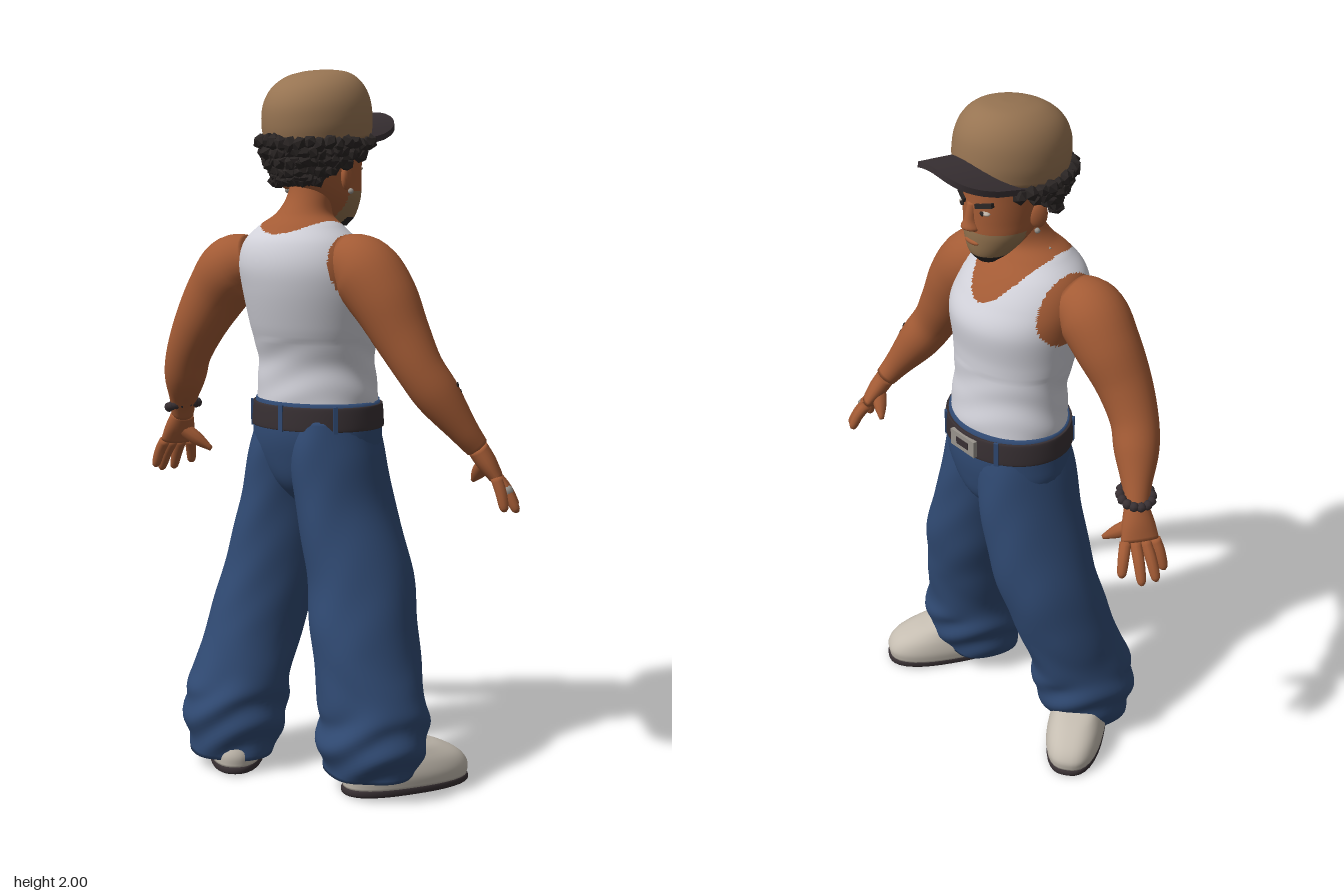
import * as THREE from 'three';

const mat = (name, color) => {
  const m = new THREE.MeshStandardMaterial({ color });
  m.name = name;
  return m;
};
const M = {
  skin: mat('skin', 0xa35b35), tank: mat('tank white', 0xd2d2da), denim: mat('denim', 0x304a73),
  cap: mat('cap tan', 0x977452), dark: mat('dark leather', 0x383033), hair: mat('hair', 0x2a2524),
  shoe: mat('shoe cream', 0xc5bdb1), metal: mat('silver', 0x98938c), stubble: mat('stubble', 0x93734f),
  eye: mat('eye white', 0xbdb2a6),
};

const V = (x, y, z) => new THREE.Vector3(x, y, z);

function add(parent, name, geo, material, pos = [0, 0, 0], rot = [0, 0, 0], scale = [1, 1, 1]) {
  const m = new THREE.Mesh(geo, material);
  m.name = name;
  m.position.set(...pos);
  m.rotation.set(...rot);
  m.scale.set(...scale);
  parent.add(m);
  return m;
}

// Smooth closed skin over sections [x, y, z, a, b]. Without ref the sections lie
// flat and run upward; with ref they turn along the path, a measured along ref.
function sweep(sections, { ref = null, rows = 24, cols = 24, pick = () => 0, bump = () => 1 } = {}) {
  const path = new THREE.CatmullRomCurve3(sections.map(s => V(s[0], s[1], s[2])), false, 'catmullrom');
  const size = new THREE.CatmullRomCurve3(sections.map(s => V(s[3], s[4] ?? s[3], 0)), false, 'catmullrom');
  const pts = [];
  for (let i = 0; i <= rows; i++) {
    const c = path.getPoint(i / rows), r = size.getPoint(i / rows);
    let u = V(1, 0, 0), v = V(0, 0, 1);
    if (ref) {
      const t = path.getTangent(i / rows);
      u = ref.clone().addScaledVector(t, -ref.dot(t)).normalize();
      v = u.clone().cross(t);
    }
    for (let j = 0; j < cols; j++) {
      const th = j / cols * Math.PI * 2, k = bump(c.y, th);
      pts.push(c.clone().addScaledVector(u, r.x * k * Math.cos(th)).addScaledVector(v, r.y * k * Math.sin(th)));
    }
  }
  const lists = [];
  const face = (a, b, c) => {
    const mid = pts[a].clone().add(pts[b]).add(pts[c]).divideScalar(3);
    (lists[pick(mid)] ??= []).push(a, b, c);
  };
  for (let i = 0; i < rows; i++) for (let j = 0; j < cols; j++) {
    const n = (j + 1) % cols, a = i * cols + j, b = i * cols + n;
    face(a, a + cols, b);
    face(b, a + cols, b + cols);
  }
  const first = pts.push(path.getPoint(0)) - 1, last = pts.push(path.getPoint(1)) - 1;
  for (let j = 0; j < cols; j++) {
    const n = (j + 1) % cols;
    face(first, j, n);
    face(last, rows * cols + n, rows * cols + j);
  }
  const g = new THREE.BufferGeometry().setFromPoints(pts);
  const index = [];
  lists.forEach((l, k) => { g.addGroup(index.length, l.length, k); for (const i of l) index.push(i); });
  g.setIndex(index);
  g.computeVertexNormals();
  return g;
}

const ball = (r, w = 16, h = 12) => new THREE.SphereGeometry(r, w, h);

function makeTorso(root) {
  const g = new THREE.Group();
  g.name = 'torso';
  g.rotation.y = 0.2;
  root.add(g);
  // Skin above the neckline and outside the straps, cloth elsewhere
  const pick = p => {
    const z = p.z - 0.002, neck = p.x > -0.05 ? 1.468 + 9.5 * z * z : 1.555 + 3 * z * z;
    const armhole = 0.155 + 1.6 * Math.max(0, 1.52 - p.y) ** 2;
    return p.y > Math.min(neck, 1.598) || (p.y > 1.33 && Math.abs(z) > armhole) ? 1 : 0;
  };
  add(g, 'tank top and chest', sweep([
    [.014, 1.04, .003, .148, .182], [.014, 1.1, .004, .15, .184], [.006, 1.2, .006, .144, .176],
    [-.012, 1.3, .009, .16, .19], [-.022, 1.4, .01, .177, .204], [-.042, 1.47, .006, .165, .2],
    [-.056, 1.53, .003, .137, .174], [-.06, 1.575, .005, .1, .126], [-.053, 1.61, .01, .073, .08],
    [-.034, 1.66, .019, .065, .066], [-.016, 1.74, .025, .065, .065],
  ], { rows: 120, cols: 128, pick, bump: (y, t) => y < 1.26 ? 1 + .008 * Math.sin(y * 70 + 3 * Math.sin(2 * t)) : 1 }),
  [M.tank, M.skin]);
  // Thin chain with pendant
  const chain = new THREE.CatmullRomCurve3([V(-.06, 1.6, .09), V(.02, 1.56, .08), V(.09, 1.49, .015),
    V(.09, 1.49, -.015), V(.02, 1.56, -.07), V(-.06, 1.6, -.08)]);
  add(g, 'necklace', new THREE.TubeGeometry(chain, 30, .004, 6), M.metal);
  add(g, 'pendant', new THREE.BoxGeometry(.012, .035, .016), M.metal, [.113, 1.465, 0], [0, 0, .5]);
  // Belt and buckle
  add(g, 'belt', sweep([[.016, 1.012, .003, .164, .193], [.016, 1.017, .003, .169, .199], [.016, 1.073, .003, .167, .195],
    [.016, 1.078, .003, .16, .188]], { cols: 40 }), M.dark);
  add(g, 'buckle', new THREE.BoxGeometry(.012, .05, .1), M.metal, [.185, 1.045, -.001]);
  add(g, 'buckle inlay', new THREE.BoxGeometry(.008, .022, .05), M.dark, [.188, 1.045, -.001]);
  for (const a of [.6, 2.3, 3.14, 4, 5.7])
    add(g, 'belt loop', new THREE.BoxGeometry(.007, .074, .013), M.denim,
      [.016 + .168 * Math.cos(a), 1.045, .003 + .198 * Math.sin(a)], [0, -a, 0]);
  add(g, 'jeans hips', sweep([[.02, .77, -.004, .04, .03], [.02, .81, -.004, .095, .07], [.02, .86, -.002, .135, .135],
    [.018, .93, 0, .154, .19], [.016, 1.0, .003, .163, .195], [.016, 1.088, .003, .158, .186]], { rows: 30, cols: 40 }), M.denim);
}

// Trouser legs with slanting folds that bunch toward the hem
const folds = (y, t) => {
  const low = THREE.MathUtils.smoothstep(.42 - y, 0, .2);
  return 1 + (.008 + .03 * low) * Math.sin(y * (30 + 28 * low) + 2.6 * Math.sin(t * 2 + 1) + t) + .008 * Math.sin(5 * t);
};
function makeLeg(root, name, sections) {
  add(root, name, sweep(sections, { rows: 64, cols: 44, bump: folds }), M.denim);
}

function makeShoe(root, name, x, z, yaw, length) {
  const g = new THREE.Group();
  g.name = name;
  g.position.set(x, 0, z);
  g.rotation.y = yaw;
  root.add(g);
  // Blunt outline, a little wider at the toe than at the heel
  const last = (y, t) => (Math.abs(Math.cos(t)) ** 2.5 + Math.abs(Math.sin(t)) ** 2.5) ** -.4
    * (1 + .07 * Math.cos(t) * Math.sin(t) ** 2);
  add(g, 'sole', sweep([[0, 0, 0, length - .012, .074], [0, .006, 0, length, .082], [0, .02, 0, length, .083],
    [0, .026, 0, length - .01, .078]], { rows: 12, cols: 40, bump: last }), M.dark);
  add(g, 'upper', sweep([[0, .022, 0, length - .004, .082], [0, .055, 0, length - .002, .086],
    [-.006, .09, 0, length - .022, .08], [-.028, .122, 0, length - .06, .068], [-.06, .15, 0, .09, .058],
    [-.09, .2, 0, .07, .052]], { cols: 40, bump: last }), M.shoe);
}

// Arm, palm, fingers from root point to each tip
function makeArm(root, name, arm, palm, spread, tips, thumb) {
  const g = new THREE.Group();
  g.name = name;
  root.add(g);
  add(g, 'arm', sweep(arm, { ref: V(1, 0, 0), rows: 40, cols: 28 }), M.skin);
  const wrist = V(...arm.at(-1)), p = V(...palm), s = spread.clone().normalize();
  const mid = wrist.clone().lerp(p, .5);
  add(g, 'palm', sweep([[...wrist.toArray(), .034, .029], [...mid.toArray(), .046, .028], [...p.toArray(), .053, .021]],
    { ref: s, rows: 10, cols: 20 }), M.skin);
  tips.forEach((tip, i) => {
    const a = p.clone().addScaledVector(s, (i - 1.5) * .027), b = V(...tip);
    const k = a.clone().lerp(b, .5).add(V(0, .008, 0));
    add(g, 'finger', sweep([[...a.toArray(), .0165], [...k.toArray(), .016], [...a.clone().lerp(b, .88).toArray(), .013],
      [...b.toArray(), .004]], { ref: s, rows: 10, cols: 10 }), M.skin);
    if (i === 1 && palm[2] > 0) add(g, 'ring', ball(.0185, 10, 8), M.metal, k.toArray());
  });
  const t = V(...thumb), tm = mid.clone().lerp(t, .55);
  add(g, 'thumb', sweep([[...mid.toArray(), .024], [...tm.toArray(), .02], [...t.toArray(), .007]],
    { ref: V(1, 0, 0), rows: 10, cols: 10 }), M.skin);
  return g;
}

function makeHead(root) {
  const g = new THREE.Group();
  g.name = 'head';
  g.position.set(-.01, 0, .03);
  g.rotation.y = .17;
  root.add(g);
  const pick = p => {
    if (p.x > .06 && p.y < 1.596) return 2;
    return p.x > .025 && p.y < 1.668 ? 1 : 0;
  };
  add(g, 'face', sweep([[.085, 1.572, 0, .025, .03], [.07, 1.6, 0, .062, .06], [.045, 1.65, 0, .095, .09],
    [.025, 1.7, 0, .115, .1], [.015, 1.76, 0, .123, .107], [.005, 1.82, 0, .13, .113], [0, 1.87, 0, .12, .11]],
  { rows: 60, cols: 56, pick }), [M.skin, M.stubble, M.hair]);
  add(g, 'nose', sweep([[.128, 1.672, 0, .018, .024], [.137, 1.682, 0, .027, .027], [.136, 1.705, 0, .02, .017],
    [.128, 1.75, 0, .016, .014]], { cols: 14 }), M.skin);
  add(g, 'mouth', ball(.02), M.skin, [.134, 1.637, 0], [0, 0, 0], [.5, .4, 1.4]);
  for (const s of [-1, 1]) {
    add(g, 'eye', ball(.016), M.eye, [.124, 1.731, s * .044], [0, 0, 0], [.7, .38, 1.1]);
    add(g, 'pupil', ball(.008), M.hair, [.133, 1.731, s * .042], [0, 0, 0], [.5, .8, 1]);
    add(g, 'eyebrow', new THREE.BoxGeometry(.014, .012, .052), M.hair, [.127, 1.753, s * .045], [-s * .25, s * -.35, 0]);
    add(g, 'ear', ball(.034), M.skin, [-.005, 1.71, s * .105], [0, s * .4, 0], [.75, 1.1, .4]);
    add(g, 'earring', ball(.008, 8, 6), M.metal, [.005, 1.67, s * .113]);
  }
  // Curly hair: a core with seeded clumps, lowest at the nape
  add(g, 'hair core', ball(1, 24, 16), M.hair, [-.035, 1.79, 0], [0, 0, 0], [.118, .1, .118]);
  let seed = 7;
  const rnd = () => (seed = (seed * 16807) % 2147483647) / 2147483647;
  const curl = new THREE.IcosahedronGeometry(1, 0);
  for (let row = 0; row < 5; row++) for (let i = 0; i < 24; i++) {
    const a = Math.PI + (i / 23 - .5) * (1.7 + row * .62), r = 1.02 - .075 * (4 - row) + rnd() * .06;
    add(g, 'curl', curl, M.hair, [-.008 + .155 * r * Math.cos(a), 1.696 + row * .024 + rnd() * .014, .134 * r * Math.sin(a)],
      [rnd() * 3, rnd() * 3, 0], [.018 + rnd() * .01, .024, .019]);
  }
  // Cap, tipped up slightly at the front
  const cap = new THREE.Group();
  cap.name = 'cap';
  cap.position.y = 1.808;
  cap.rotation.z = .11;
  g.add(cap);
  add(cap, 'crown', sweep([[.004, 0, 0, .16, .139], [.004, .05, 0, .165, .146], [.006, .105, 0, .159, .14],
    [.01, .148, 0, .135, .119], [.016, .176, 0, .095, .084], [.016, .187, 0, .045, .04], [.016, .189, 0, .005, .005]],
  { rows: 30, cols: 40 }), M.cap);
  // Wide rounded brim, drooping at the sides
  const brim = new THREE.BoxGeometry(1, .016, 1, 10, 1, 32), p = brim.attributes.position;
  for (let i = 0; i < p.count; i++) {
    const s = p.getX(i) + .5, t = p.getZ(i) * 2;
    const inner = .17 * Math.sqrt(1 - .8 * t * t) - .03;
    p.setXYZ(i, inner + s * (.27 - inner) * Math.sqrt(1 - Math.abs(t) ** 2.6), p.getY(i) + .044 - .056 * t * t, t * .132);
  }
  brim.computeVertexNormals();
  add(cap, 'brim', brim, M.dark);
}

export function createModel() {
  const root = new THREE.Group();
  root.name = 'standing man';
  makeTorso(root);
  makeLeg(root, 'right trouser leg', [[-.015, .06, .262, .125, .135], [-.01, .14, .265, .154, .156], [0, .22, .258, .152, .158],
    [.003, .3, .243, .152, .148], [.012, .45, .205, .16, .143], [.03, .6, .168, .158, .142], [.022, .8, .112, .155, .12],
    [.014, .95, .087, .148, .114], [.01, 1.04, .08, .13, .1]]);
  makeLeg(root, 'left trouser leg', [[-.155, .04, -.18, .12, .125], [-.142, .14, -.185, .152, .148], [-.135, .22, -.185, .153, .147],
    [-.108, .3, -.18, .147, .142], [-.06, .45, -.17, .149, .138], [-.02, .6, -.147, .152, .136], [.004, .8, -.112, .153, .116],
    [.01, .95, -.087, .148, .108], [.014, 1.04, -.077, .13, .095]]);
  makeShoe(root, 'right shoe', .083, .3, -.29, .192);
  makeShoe(root, 'left shoe', -.096, -.235, .86, .212);
  const right = makeArm(root, 'right arm', [[-.035, 1.49, .14, .07], [-.004, 1.456, .21, .097], [.016, 1.385, .27, .094],
    [.035, 1.29, .322, .079], [.055, 1.2, .372, .066], [.09, 1.125, .41, .062], [.14, 1.035, .455, .042], [.175, .985, .475, .033]],
  [.222, .905, .5], V(.1, 0, -.11),
  [[.2, .815, .56], [.24, .81, .57], [.28, .815, .53], [.3, .835, .475]], [.225, .88, .415]);
  // Small forearm mark
  for (const d of [-1, 1])
    add(right, 'forearm mark', ball(.013, 10, 8), M.hair, [.126 + d * .006, 1.144 - d * .01, .452], [0, .7, .5], [.7, .9, .35]);
  const left = makeArm(root, 'left arm', [[-.1, 1.48, -.13, .07], [-.125, 1.45, -.197, .095], [-.14, 1.38, -.258, .09],
    [-.16, 1.29, -.312, .077], [-.165, 1.2, -.364, .066], [-.15, 1.125, -.405, .061], [-.125, 1.05, -.45, .041],
    [-.11, 1.0, -.475, .033]],
  [-.1, .915, -.515], V(1, 0, .3),
  [[-.15, .83, -.565], [-.115, .815, -.583], [-.07, .815, -.58], [-.025, .835, -.545]], [-.04, .89, -.425]);
  // Beaded bracelet
  for (let i = 0; i < 14; i++) {
    const a = i / 14 * Math.PI * 2;
    add(left, 'bracelet bead', ball(.014, 8, 6), M.dark,
      [-.115 + .044 * Math.cos(a), 1.028 + .012 * Math.sin(a), -.464 + .042 * Math.sin(a)]);
  }
  makeHead(root);
  return root;
}
